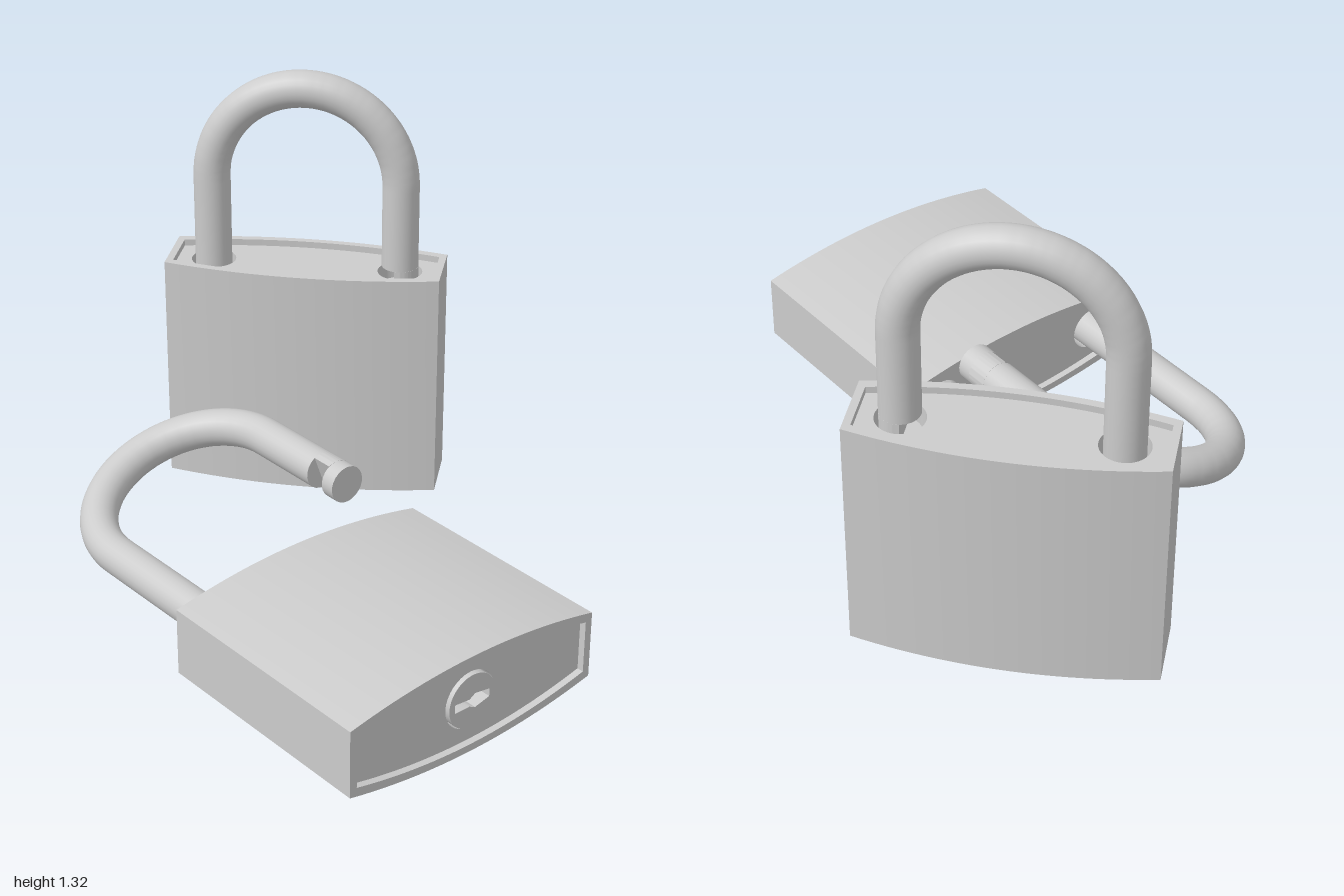
import * as THREE from 'three';
import { toCreasedNormals } from 'three/addons/utils/BufferGeometryUtils.js';

const HEIGHT = 0.715, HALF_W = 0.42, END_Z = 0.1, BULGE = 0.047;
const LEG_X = 0.288, ROD = 0.056, RECESS = 0.02;
const rad = THREE.MathUtils.degToRad;
const material = new THREE.MeshStandardMaterial({ color: 0xcccccc, side: THREE.DoubleSide });

function add(parent, name, geometry, x = 0, y = 0, z = 0) {
  const mesh = new THREE.Mesh(geometry, material);
  mesh.name = name;
  mesh.position.set(x, y, z);
  parent.add(mesh);
  return mesh;
}

// Plan of the body: flat ends, gently bowed faces
function plan(inset = 0) {
  const w = HALF_W - inset, pts = [], n = 24;
  for (const s of [-1, 1]) {
    for (let i = 0; i <= n; i++) {
      const t = (i / n) * 2 - 1;
      pts.push(new THREE.Vector2(-s * t * w, s * (END_Z - inset + BULGE * (1 - t * t))));
    }
  }
  return pts;
}

function circlePath(x, r) {
  return new THREE.Path().absarc(x, 0, r, 0, Math.PI * 2, true);
}

// Extrude a plan shape upward from y = 0
function slab(shape, height) {
  const g = new THREE.ExtrudeGeometry(shape, { depth: height, bevelEnabled: false, curveSegments: 24 });
  g.rotateX(-Math.PI / 2);
  return toCreasedNormals(g, 0.5);
}

function createBody() {
  const body = new THREE.Group();
  body.name = 'lockBody';

  // Outer case whose rim stands proud of both end plates
  const wall = new THREE.Shape(plan());
  wall.holes.push(new THREE.Path(plan(0.022)));
  add(body, 'case', slab(wall, HEIGHT));

  const inner = 0.02;
  add(body, 'core', slab(new THREE.Shape(plan(inner)), HEIGHT - 0.24), 0, 0.08);

  // Top plate with a socket for each shackle leg
  const top = new THREE.Shape(plan(inner));
  for (const x of [-LEG_X, LEG_X]) top.holes.push(circlePath(x, ROD + 0.012));
  add(body, 'topPlate', slab(top, 0.16 - RECESS), 0, HEIGHT - 0.16);

  // Bottom plate with the round key plug
  const bottom = new THREE.Shape(plan(inner));
  bottom.holes.push(circlePath(0, 0.085));
  add(body, 'bottomPlate', slab(bottom, 0.08 - RECESS), 0, RECESS);

  const plug = new THREE.Shape().absarc(0, 0, 0.08, 0, Math.PI * 2, false);
  plug.holes.push(new THREE.Path([
    [-0.06, -0.012], [-0.06, 0.014], [-0.01, 0.014], [0.01, 0.024],
    [0.06, 0.012], [0.06, -0.012], [0.01, -0.02], [-0.01, -0.008],
  ].map(([x, y]) => new THREE.Vector2(x, y))));
  add(body, 'keyPlug', slab(plug, 0.07), 0, 0.01);
  return body;
}

// Shackle with its fixed leg on the local y axis; y = 0 is the body top
function createShackle(legLength, freeEnd) {
  const shackle = new THREE.Group();
  shackle.name = 'shackle';
  const notchLength = 0.065, stub = 0.045;
  const rodEnd = freeEnd + notchLength + stub;

  const path = new THREE.CurvePath();
  const pts = [new THREE.Vector3(0, -0.12, 0)];
  for (let i = 0; i <= 40; i++) {
    const a = Math.PI * (1 - i / 40);
    pts.push(new THREE.Vector3(LEG_X * (1 + Math.cos(a)), legLength + LEG_X * Math.sin(a), 0));
  }
  pts.push(new THREE.Vector3(LEG_X * 2, rodEnd, 0));
  for (let i = 1; i < pts.length; i++) path.add(new THREE.LineCurve3(pts[i - 1], pts[i]));
  add(shackle, 'shackleRod', new THREE.TubeGeometry(path, 110, ROD, 24, false));

  // Free tip: rod end face, notched neck and end stub
  const cap = add(shackle, 'rodEndFace', new THREE.CircleGeometry(ROD, 24), LEG_X * 2, rodEnd);
  cap.rotation.x = Math.PI / 2;
  const neck = new THREE.Shape().absarc(0, 0, ROD, -1.75, 1.75, false);
  add(shackle, 'latchNotch', slab(neck, notchLength), LEG_X * 2, freeEnd + stub);
  add(shackle, 'shackleTip', new THREE.CylinderGeometry(ROD, ROD, stub, 24), LEG_X * 2, freeEnd + stub / 2);
  return shackle;
}

function createPadlock(name, lift, swing) {
  const lock = new THREE.Group();
  lock.name = name;
  lock.add(createBody());
  const shackle = createShackle(0.257 + lift, -0.11 + lift);
  shackle.position.set(-LEG_X, HEIGHT, 0);
  shackle.rotation.y = swing;
  lock.add(shackle);
  return lock;
}

export function createModel() {
  const model = new THREE.Group();
  model.name = 'padlocks';

  // Closed lock standing at the back
  const closed = createPadlock('closedPadlock', 0, 0);
  closed.position.set(0.244, 0, -0.68);
  closed.rotation.y = rad(-34.5);

  // Open lock lying on its face at the front
  const open = createPadlock('openPadlock', 0.205, rad(-20));
  open.position.set(0.008, END_Z + BULGE, 0.89);
  open.rotation.set(-Math.PI / 2, rad(15), 0, 'YXZ');

  model.add(closed, open);
  return model;
}
